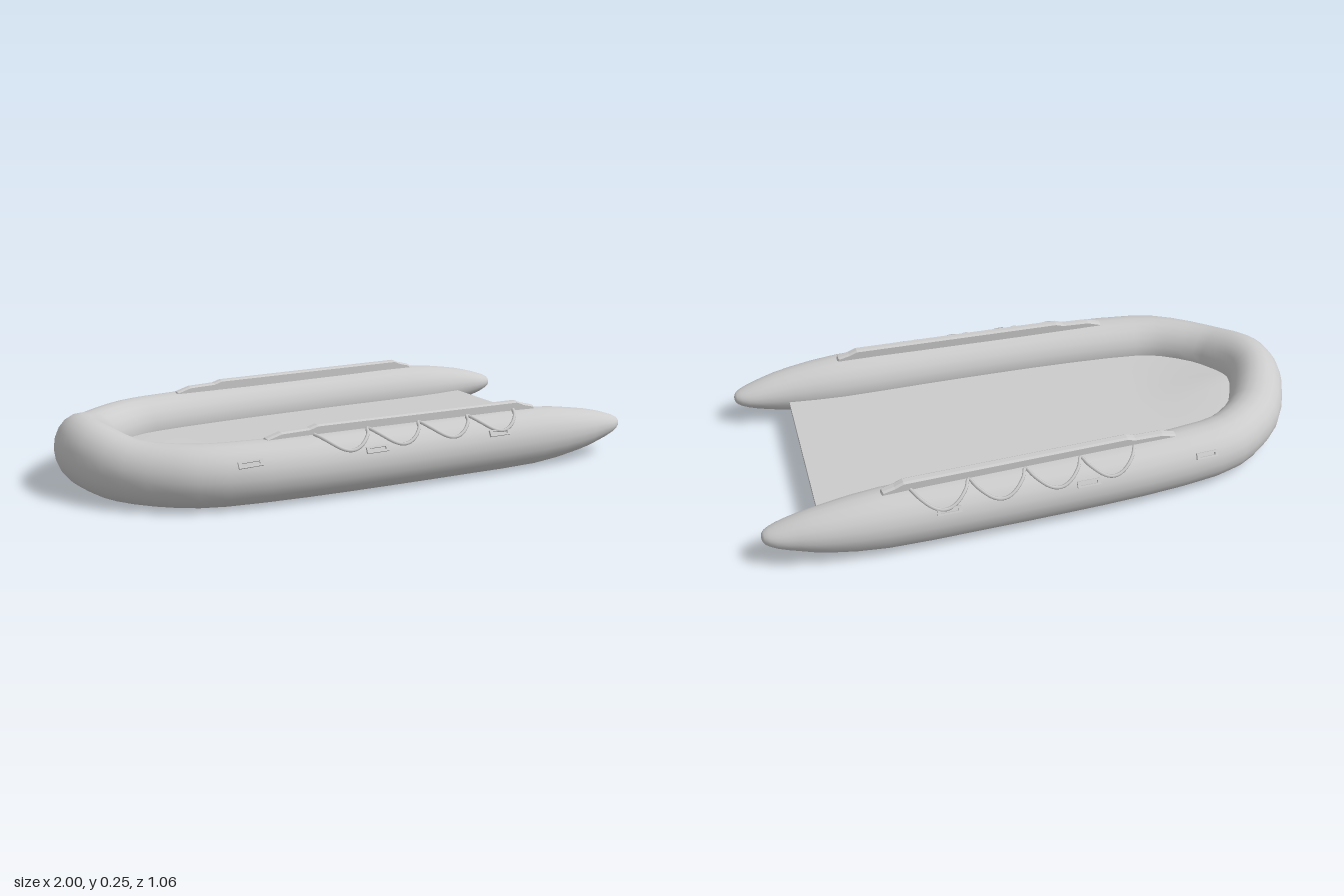
import * as THREE from 'three';

const grey = new THREE.MeshStandardMaterial({ color: 0xcccccc });

function add(group, name, geometry) {
  const mesh = new THREE.Mesh(geometry, grey);
  mesh.name = name;
  group.add(mesh);
  return mesh;
}

// Linear lookup in a list of [x, value] pairs
function lookup(table, x) {
  for (let i = 1; i < table.length; i++) {
    const [x0, v0] = table[i - 1], [x1, v1] = table[i];
    if (x <= x1) return v0 + (v1 - v0) * Math.max(0, (x - x0) / (x1 - x0));
  }
  return table[table.length - 1][1];
}

// Half of the hull path, stern tip to bow: x, y, z, horizontal radius, vertical radius
const halfPath = [
  [1, 0.105, 0.416, 0.006, 0.006],
  [0.99, 0.105, 0.416, 0.028, 0.022],
  [0.95, 0.104, 0.417, 0.051, 0.039],
  [0.88, 0.104, 0.42, 0.068, 0.06],
  [0.78, 0.103, 0.425, 0.085, 0.081],
  [0.6, 0.103, 0.425, 0.102, 0.102],
  [0.3, 0.103, 0.424, 0.103, 0.103],
  [0, 0.103, 0.419, 0.103, 0.103],
  [-0.3, 0.103, 0.407, 0.103, 0.103],
  [-0.57, 0.103, 0.378, 0.1, 0.103],
  [-0.7, 0.103, 0.325, 0.097, 0.103],
  [-0.81, 0.106, 0.23, 0.097, 0.104],
  [-0.868, 0.118, 0.135, 0.097, 0.115],
  [-0.896, 0.129, 0.065, 0.096, 0.117],
];
const bow = [-0.905, 0.132, 0, 0.095, 0.117];

// Inflated U-shaped tube, skinned over elliptical rings
function hullGeometry() {
  const mirrored = halfPath.map(([x, y, z, h, v]) => [x, y, -z, h, v]).reverse();
  const path = [...halfPath, bow, ...mirrored];
  const centre = new THREE.CatmullRomCurve3(path.map(p => new THREE.Vector3(p[0], p[1], p[2])), false, 'catmullrom');
  const radius = new THREE.CatmullRomCurve3(path.map(p => new THREE.Vector3(p[3], p[4], 0)), false, 'catmullrom');
  const steps = (path.length - 1) * 2, sides = 20;
  const positions = [], index = [];
  for (let i = 0; i <= steps; i++) {
    const c = centre.getPoint(i / steps), r = radius.getPoint(i / steps);
    const t = centre.getTangent(i / steps).setY(0).normalize();
    for (let j = 0; j < sides; j++) {
      const a = (j / sides) * Math.PI * 2, across = Math.cos(a) * r.x;
      positions.push(c.x - t.z * across, c.y + Math.sin(a) * r.y, c.z + t.x * across);
      if (i === steps) continue;
      const p = i * sides + j, q = i * sides + (j + 1) % sides;
      index.push(p, p + sides, q, p + sides, q + sides, q);
    }
  }
  // Close both stern tips
  const first = positions.length / 3, last = steps * sides;
  positions.push(1, 0.105, 0.416, 1, 0.105, -0.416);
  for (let j = 0; j < sides; j++) {
    const k = (j + 1) % sides;
    index.push(first, j, k, first + 1, last + k, last + j);
  }
  const g = new THREE.BufferGeometry();
  g.setAttribute('position', new THREE.Float32BufferAttribute(positions, 3));
  g.setIndex(index);
  g.computeVertexNormals();
  return g;
}

// Floor board narrowing and rising gently towards the bow
function floorGeometry() {
  const width = [[-0.9, 0.02], [-0.86, 0.12], [-0.8, 0.2], [-0.7, 0.29], [-0.57, 0.34], [-0.3, 0.36], [0.6, 0.36], [0.805, 0.348]];
  const g = new THREE.BoxGeometry(1, 1, 1, 32, 1, 12);
  const pos = g.attributes.position;
  for (let i = 0; i < pos.count; i++) {
    const x = -0.9 + (pos.getX(i) + 0.5) * 1.705;
    const z = pos.getZ(i) * 2 * lookup(width, x);
    const rise = 0.03 * THREE.MathUtils.smoothstep(-x, 0.45, 0.85) * Math.max(0, 1 - Math.abs(z) / 0.28);
    pos.setXYZ(i, x, 0.082 + pos.getY(i) * 0.027 + rise, z);
  }
  g.computeVertexNormals();
  return g;
}

const centreLine = halfPath.slice(0, 11).map(p => [p[0], p[2]]).reverse();

// Point on the side tube, at an angle out from its top
function onTube(x, angle, r, s) {
  return new THREE.Vector3(x, 0.103 + r * Math.cos(angle), s * (lookup(centreLine, x) + r * Math.sin(angle)));
}

// Raised strip with stepped ends, following the slight splay of the tube
function railGeometry(s) {
  const profile = [[-0.44, 0.19], [-0.43, 0.207], [-0.38, 0.222], [-0.28, 0.225], [-0.25, 0.234],
    [0.53, 0.234], [0.56, 0.222], [0.6, 0.212], [0.61, 0.19]];
  const shape = new THREE.Shape(profile.map(p => new THREE.Vector2(...p)));
  const g = new THREE.ExtrudeGeometry(shape, { depth: 0.018, bevelThickness: 0.008, bevelSize: 0.005, bevelOffset: -0.003, bevelSegments: 1 });
  g.translate(0, 0, -0.009);
  const pos = g.attributes.position;
  for (let i = 0; i < pos.count; i++) pos.setZ(i, pos.getZ(i) + s * (0.403 + 0.03 * pos.getX(i)));
  g.computeVertexNormals();
  return g;
}

// Grab line hanging in four scallops
function ropeGeometry(s) {
  const points = [], loops = 4, perLoop = 12;
  for (let i = 0; i <= loops * perLoop; i++) {
    const sag = Math.pow(Math.abs(Math.sin((i / perLoop) * Math.PI)), 0.75);
    const angle = THREE.MathUtils.degToRad(7 + 50 * sag);
    points.push(onTube(-0.27 + (0.78 * i) / (loops * perLoop), angle, 0.107, s));
  }
  return new THREE.TubeGeometry(new THREE.CatmullRomCurve3(points), 144, 0.006, 6);
}

// Flat rectangular ring
function loopGeometry() {
  const rect = (Type, w, h) => new Type([[-w, -h], [w, -h], [w, h], [-w, h]].map(p => new THREE.Vector2(...p)));
  const shape = rect(THREE.Shape, 0.041, 0.011);
  shape.holes.push(rect(THREE.Path, 0.03, 0.005));
  return new THREE.ExtrudeGeometry(shape, { depth: 0.012, bevelEnabled: false });
}

export function createModel() {
  const model = new THREE.Group();
  model.name = 'inflatableBoat';
  add(model, 'hullTube', hullGeometry());
  add(model, 'floorBoard', floorGeometry());

  for (const s of [1, -1]) {
    const side = new THREE.Group();
    side.name = s > 0 ? 'frontSideFittings' : 'backSideFittings';
    model.add(side);
    add(side, 'topRail', railGeometry(s));
    add(side, 'grabRope', ropeGeometry(s));
    // Tie-down loops lie flat against the tube
    for (const [x, yaw] of [[-0.52, 0.12], [-0.08, 0.03], [0.4, 0]]) {
      const loop = add(side, 'tieDownLoop', loopGeometry());
      loop.position.copy(onTube(x, Math.PI / 3, 0.098, s));
      loop.rotation.set(-s * Math.PI / 6, s > 0 ? -yaw : Math.PI + yaw, 0);
    }
  }
  return model;
}
